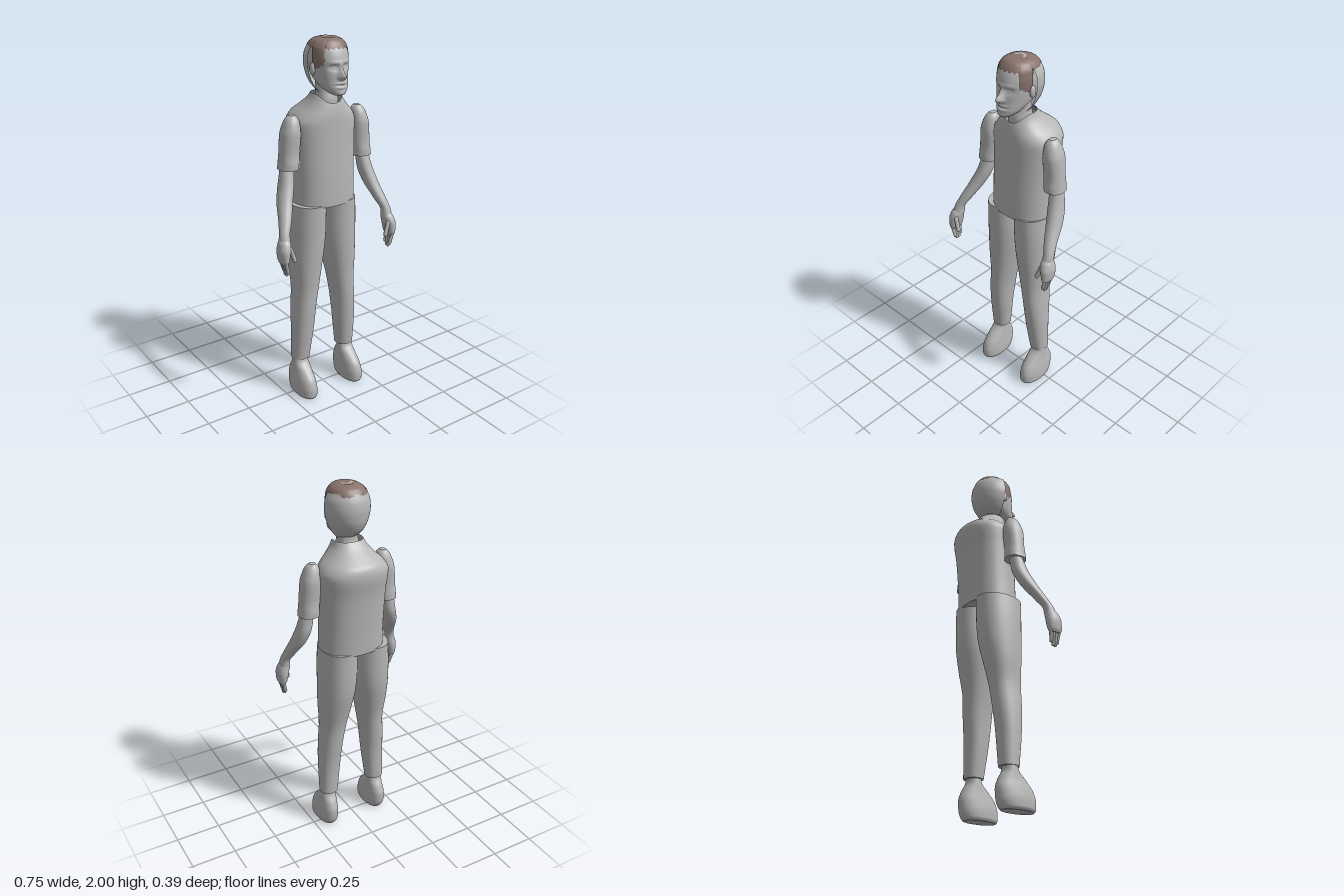
import * as THREE from 'three';

const grey = new THREE.MeshStandardMaterial({ color: 0xb6b6b6, side: THREE.DoubleSide });
grey.name = 'light grey';
const brown = new THREE.MeshStandardMaterial({ color: 0x89736c, side: THREE.DoubleSide });
brown.name = 'hair brown';

// Smooth, non-overshooting interpolation of ring column k at height y (rings sorted by y)
function sample(rings, k, y) {
  const n = rings.length;
  let i = 0;
  while (i < n - 2 && y > rings[i + 1][0]) i++;
  const slope = (a) => (rings[a + 1][k] - rings[a][k]) / (rings[a + 1][0] - rings[a][0]);
  const tangent = (a) => {
    if (a === 0) return slope(0);
    if (a === n - 1) return slope(n - 2);
    const p = slope(a - 1), q = slope(a);
    return p * q <= 0 ? 0 : (2 * p * q) / (p + q);
  };
  const h = rings[i + 1][0] - rings[i][0];
  const t = Math.min(1, Math.max(0, (y - rings[i][0]) / h));
  const t2 = t * t, t3 = t2 * t;
  return (2 * t3 - 3 * t2 + 1) * rings[i][k] + (t3 - 2 * t2 + t) * h * tangent(i)
    + (3 * t2 - 2 * t3) * rings[i + 1][k] + (t3 - t2) * h * tangent(i + 1);
}

// Skin over horizontal cross-sections [y, xMin, xMax, zMin, zMax];
// lo and hi give the bottom and top edge for each angle round the part
function loft(rings, { segs = 40, rows = 32, power = 2.2, caps = true, from = 0, arc = Math.PI * 2,
  lo = () => rings[0][0], hi = () => rings[rings.length - 1][0], shape = null } = {}) {
  const pos = [], index = [], w = segs + 1;
  const closed = arc > 6.28;
  const cols = closed ? segs : w;
  for (let r = 0; r <= rows; r++) {
    const v = (1 - Math.cos((Math.PI * r) / rows)) / 2;
    for (let j = 0; j < cols; j++) {
      const a = from + (arc * j) / segs, c = Math.cos(a), s = Math.sin(a);
      const y = lo(a) + (hi(a) - lo(a)) * v;
      const [x0, x1, z0, z1] = [1, 2, 3, 4].map((k) => sample(rings, k, y));
      const p = [
        (x0 + x1) / 2 + ((x1 - x0) / 2) * Math.sign(c) * Math.abs(c) ** (2 / power), y,
        (z0 + z1) / 2 + ((z1 - z0) / 2) * Math.sign(s) * Math.abs(s) ** (2 / power)];
      if (shape) shape(p);
      pos.push(...p);
    }
  }
  for (let r = 0; r < rows; r++) for (let j = 0; j < segs; j++) {
    const a = r * cols + j, b = r * cols + ((j + 1) % cols);
    index.push(a, a + cols, b, b, a + cols, b + cols);
  }
  if (caps && closed) for (const top of [false, true]) {
    const row = top ? rows * cols : 0, base = pos.length / 3, mid = [0, 0, 0];
    for (let j = 0; j < cols; j++) for (let k = 0; k < 3; k++) {
      const value = pos[(row + j) * 3 + k];
      pos.push(value);
      mid[k] += value / cols;
    }
    pos.push(...mid);
    for (let j = 0; j < cols; j++) {
      const a = base + j, b = base + ((j + 1) % cols);
      index.push(base + cols, top ? b : a, top ? a : b);
    }
  }
  const g = new THREE.BufferGeometry();
  g.setAttribute('position', new THREE.Float32BufferAttribute(pos, 3));
  g.setIndex(index);
  g.computeVertexNormals();
  return g;
}

function part(parent, name, geometry, material = grey) {
  const m = new THREE.Mesh(geometry, material);
  m.name = name;
  parent.add(m);
  return m;
}

// Mirror rings to one side (s = +1 or -1), with a sideways shift that may vary with height
const sided = (rings, s, shift) => rings.map(([y, a, b, z0, z1]) =>
  (s > 0 ? [y, a + shift(y), b + shift(y), z0, z1] : [y, -b + shift(y), -a + shift(y), z0, z1]));
// Rings centred on the body's axis, given as [y, halfWidth, zMin, zMax]
const CX = 0.017;
const centred = (rings) => rings.map(([y, h, z0, z1]) => [y, CX - h, CX + h, z0, z1]);

// Rod with round ends between two points, for fingers
function finger(parent, name, a, b, radius) {
  const p = new THREE.Vector3(...a), q = new THREE.Vector3(...b), d = q.clone().sub(p);
  const m = part(parent, name, new THREE.CapsuleGeometry(radius, d.length(), 5, 10));
  m.position.copy(p).add(q).multiplyScalar(0.5);
  m.quaternion.setFromUnitVectors(new THREE.Vector3(0, 1, 0), d.normalize());
}

// Face relief as soft bumps: [x, y, spreadX, spreadY, depth]
const relief = [
  [0, 1.822, 0.011, 0.013, 0.036], [0, 1.85, 0.008, 0.02, 0.016],
  [0, 1.786, 0.02, 0.005, 0.007], [0, 1.776, 0.024, 0.003, -0.006],
  [0, 1.766, 0.018, 0.006, 0.007], [0, 1.74, 0.02, 0.01, 0.004]];
for (const s of [1, -1]) relief.push(
  [s * 0.034, 1.864, 0.015, 0.01, -0.013], [s * 0.034, 1.862, 0.008, 0.005, 0.007],
  [s * 0.032, 1.887, 0.02, 0.007, 0.005], [s * 0.013, 1.816, 0.006, 0.006, 0.008]);
function faceShape(p) {
  if (p[2] < 0.05) return;
  for (const [x, y, sx, sy, d] of relief)
    p[2] += d * Math.exp(-(((p[0] - CX - x) / sx) ** 2 + ((p[1] - y) / sy) ** 2) / 2);
}

function buildHead(body) {
  const head = new THREE.Group();
  head.name = 'head';
  body.add(head);
  part(head, 'face', loft(centred([
    [1.725, 0.025, 0.085, 0.138], [1.735, 0.042, 0.05, 0.147], [1.76, 0.064, 0, 0.146],
    [1.8, 0.08, -0.06, 0.14], [1.85, 0.09, -0.09, 0.136], [1.9, 0.094, -0.095, 0.132],
    [1.94, 0.09, -0.09, 0.12], [1.97, 0.074, -0.07, 0.1], [1.985, 0.055, -0.05, 0.08],
    [1.993, 0.025, -0.02, 0.05]]), { segs: 112, rows: 90, shape: faceShape }));
  part(head, 'neck', loft(centred([
    [1.6, 0.065, -0.06, 0.06], [1.68, 0.06, -0.055, 0.065], [1.73, 0.055, -0.045, 0.055],
    [1.8, 0.055, -0.05, 0.05]])));
  // Back of the head: an open half shell standing a little proud of the skull
  part(head, 'headBack', loft(centred([
    [1.73, 0.055, -0.03, 0.07], [1.75, 0.072, -0.06, 0.1], [1.78, 0.092, -0.088, 0.128],
    [1.83, 0.112, -0.108, 0.148], [1.88, 0.121, -0.113, 0.153], [1.92, 0.118, -0.108, 0.148],
    [1.965, 0.1, -0.09, 0.13]]), { from: Math.PI, arc: Math.PI, power: 2 }));
  // Hair cap with sideburns and a ragged fringe
  const edge = (a) => {
    const s = Math.sin(a), rag = 0.004 * Math.sin(a * 23) + 0.003 * Math.sin(a * 41);
    return (s > 0.1 && s < 0.74 ? 1.84 + 0.05 * s : 1.953) + rag;
  };
  part(head, 'hair', loft(centred([
    [1.82, 0.094, -0.085, 0.125], [1.9, 0.101, -0.1, 0.126], [1.95, 0.097, -0.095, 0.117],
    [1.98, 0.081, -0.078, 0.1], [1.993, 0.062, -0.055, 0.085], [2, 0.035, -0.03, 0.06]]),
  { segs: 112, lo: edge, caps: false }), brown);
  const crown = part(head, 'crown', new THREE.CircleGeometry(0.05, 32), brown);
  crown.rotation.x = -Math.PI / 2;
  crown.position.set(CX, 1.9985, 0.015);
  const patch = part(head, 'thinPatch', new THREE.RingGeometry(0.02, 0.034, 24, 1, 0, Math.PI));
  patch.rotation.x = -Math.PI / 2;
  patch.position.set(CX, 2.0, 0.015);
  for (const s of [1, -1]) {
    const ear = part(head, s > 0 ? 'leftEar' : 'rightEar', new THREE.SphereGeometry(1, 16, 12));
    ear.scale.set(0.012, 0.032, 0.018);
    ear.position.set(CX + s * 0.1, 1.85, 0.028);
  }
}

function buildArm(body, s) {
  const arm = new THREE.Group();
  arm.name = s > 0 ? 'leftArm' : 'rightArm';
  body.add(arm);
  part(arm, 'sleeve', loft(sided([
    [1.35, 0.178, 0.286, -0.06, 0.058], [1.37, 0.178, 0.283, -0.06, 0.058],
    [1.43, 0.172, 0.278, -0.055, 0.052], [1.53, 0.165, 0.268, -0.06, 0.055],
    [1.58, 0.168, 0.252, -0.05, 0.045], [1.61, 0.175, 0.237, -0.037, 0.03],
    [1.625, 0.19, 0.22, -0.025, 0.015]], s, () => 0.017)));
  const shift = (y) => 0.018 * THREE.MathUtils.clamp((y - 1) / 0.3, 0, 1);
  part(arm, 'forearm', loft(sided([
    [1.0, 0.303, 0.362, 0.105, 0.175], [1.05, 0.302, 0.355, 0.1, 0.158],
    [1.1, 0.28, 0.342, 0.068, 0.137], [1.2, 0.238, 0.315, -0.008, 0.087],
    [1.28, 0.215, 0.292, -0.035, 0.055], [1.36, 0.205, 0.275, -0.038, 0.03]], s, shift)));
  part(arm, 'palm', loft(sided([
    [0.905, 0.332, 0.362, 0.115, 0.182], [0.925, 0.322, 0.37, 0.106, 0.191],
    [0.97, 0.312, 0.374, 0.1, 0.192], [1.01, 0.305, 0.366, 0.103, 0.18],
    [1.03, 0.31, 0.355, 0.108, 0.165]], s, () => 0)));
  for (let i = 0; i < 4; i++) {
    const z = 0.12 + i * 0.019, tip = [0.862, 0.845, 0.842, 0.858][i];
    finger(arm, 'finger' + (i + 1), [s * 0.35, 0.925, z], [s * 0.334, tip, 0.132 + i * 0.013], 0.0095);
  }
  finger(arm, 'thumb', [s * 0.318, 0.985, 0.172], [s * 0.297, 0.92, 0.178], 0.012);
}

function buildLeg(body, s) {
  const leg = new THREE.Group();
  leg.name = s > 0 ? 'leftLeg' : 'rightLeg';
  body.add(leg);
  const shift = () => 0.002;
  part(leg, 'trouserLeg', loft(sided([
    [0.215, 0.1, 0.203, -0.06, 0.042], [0.4, 0.08, 0.202, -0.067, 0.066],
    [0.55, 0.066, 0.195, -0.083, 0.078], [0.65, 0.05, 0.188, -0.092, 0.081],
    [0.8, 0.022, 0.197, -0.125, 0.09], [0.9, 0.006, 0.198, -0.145, 0.096],
    [1.0, -0.001, 0.197, -0.152, 0.1], [1.14, -0.001, 0.19, -0.155, 0.104]], s, shift)));
  part(leg, 'foot', loft(sided([
    [0, 0.11, 0.205, -0.06, 0.13], [0.015, 0.101, 0.215, -0.072, 0.139],
    [0.05, 0.1, 0.216, -0.086, 0.14], [0.1, 0.104, 0.211, -0.09, 0.127],
    [0.15, 0.109, 0.203, -0.073, 0.085], [0.2, 0.112, 0.199, -0.045, 0.035],
    [0.24, 0.115, 0.195, -0.043, 0.028]], s, shift)));
}

export function createModel() {
  const body = new THREE.Group();
  body.name = 'standingFigure';
  // Shirt, with the neckline dipping at the front
  part(body, 'shirt', loft([
    [1.13, -0.16, 0.19, -0.16, 0.112], [1.25, -0.158, 0.19, -0.166, 0.11],
    [1.45, -0.162, 0.197, -0.18, 0.102], [1.57, -0.168, 0.203, -0.197, 0.098],
    [1.61, -0.145, 0.182, -0.19, 0.096], [1.65, -0.105, 0.14, -0.145, 0.09],
    [1.69, -0.074, 0.107, -0.095, 0.08], [1.72, -0.06, 0.094, -0.07, 0.07]],
  { segs: 64, rows: 48, caps: false, power: 2.3,
    hi: (a) => 1.72 - 0.045 * Math.max(0, Math.sin(a)) ** 3 }));
  // Underside of the shirt
  const hem = part(body, 'shirtHem', new THREE.CircleGeometry(1, 48));
  hem.rotation.x = Math.PI / 2;
  hem.scale.set(0.175, 0.135, 1);
  hem.position.set(0.015, 1.132, -0.024);
  buildHead(body);
  for (const s of [1, -1]) {
    buildArm(body, s);
    buildLeg(body, s);
  }
  return body;
}
